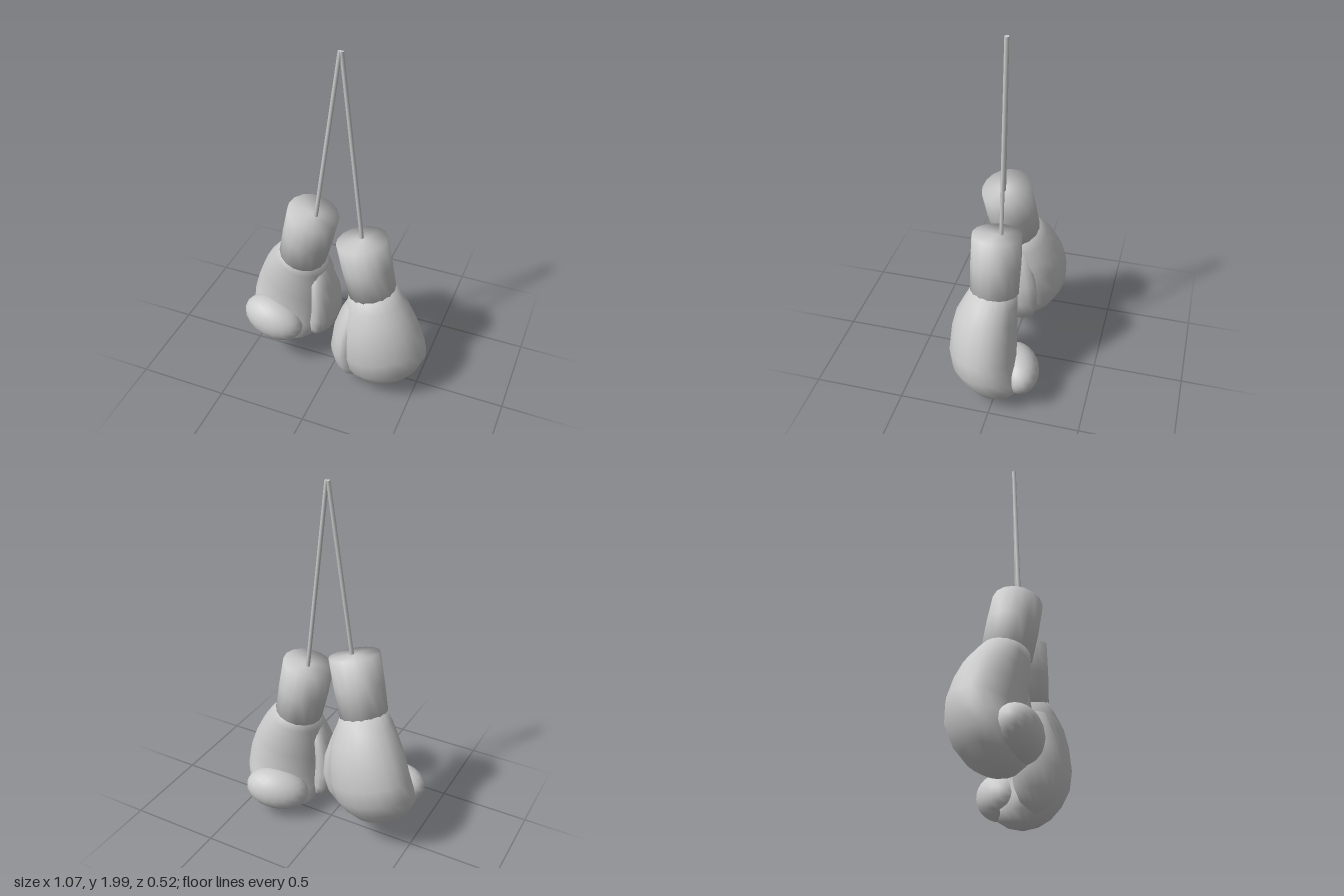
import * as THREE from 'three';

const material = new THREE.MeshStandardMaterial({ color: 0xcccccc });

function mesh(name, geometry) {
  const m = new THREE.Mesh(geometry, material);
  m.name = name;
  return m;
}

// Smooth skin over oval rings, each given as [drop, xMin, xMax, zMin, zMax]
function loft(rings, sides) {
  const pos = [], index = [];
  rings.forEach(([s, x0, x1, z0, z1], i) => {
    for (let j = 0; j < sides; j++) {
      const a = (j / sides) * Math.PI * 2;
      pos.push((x0 + x1) / 2 + Math.cos(a) * (x1 - x0) / 2, -s,
        (z0 + z1) / 2 + Math.sin(a) * (z1 - z0) / 2);
      if (i === rings.length - 1) continue;
      const k = (j + 1) % sides;
      const p = i * sides + j, q = i * sides + k;
      index.push(p, q, p + sides, q, q + sides, p + sides);
    }
  });
  const g = new THREE.BufferGeometry();
  g.setAttribute('position', new THREE.Float32BufferAttribute(pos, 3));
  g.setIndex(index);
  g.computeVertexNormals();
  return g;
}

// Glove hanging from the middle of its cuff: back of hand +z, thumb -x
function glove(name, yaw) {
  const g = new THREE.Group();
  g.name = name;

  // Closed cuff with softly shaded ends
  const cuff = mesh('cuff', loft([
    [0, 0, 0, 0, 0],
    [0, -0.139, 0.139, -0.13, 0.134],
    [0.16, -0.14, 0.135, -0.134, 0.136],
    [0.325, -0.135, 0.128, -0.13, 0.132],
    [0.325, 0, 0, 0, 0],
  ], 16));

  // The hand turns on the wrist
  const fist = new THREE.Group();
  fist.name = 'fist';
  fist.rotation.y = yaw;

  // The lower rings reach forward where the knuckles fold over
  const hand = mesh('hand', loft([
    [0.30, 0, 0, 0, 0],
    [0.30, -0.12, 0.115, -0.115, 0.12],
    [0.38, -0.155, 0.155, -0.125, 0.162],
    [0.46, -0.19, 0.186, -0.13, 0.2],
    [0.56, -0.217, 0.212, -0.135, 0.222],
    [0.68, -0.235, 0.228, -0.135, 0.23],
    [0.78, -0.235, 0.225, -0.16, 0.212],
    [0.86, -0.215, 0.192, -0.21, 0.165],
    [0.92, -0.175, 0.14, -0.165, 0.105],
    [0.955, -0.115, 0.07, -0.11, 0.04],
    [0.97, -0.03, -0.03, -0.04, -0.04],
  ], 20));

  // Finger roll, tapering to both sides
  const fingers = mesh('foldedFingers', new THREE.SphereGeometry(1, 20, 14));
  fingers.scale.set(0.18, 0.122, 0.118);
  fingers.position.set(0.02, -0.8, -0.145);

  const thumb = mesh('thumb', loft([
    [0.35, -0.11, -0.11, 0.02, 0.02],
    [0.38, -0.158, -0.07, -0.05, 0.09],
    [0.46, -0.21, -0.1, -0.1, 0.11],
    [0.55, -0.26, -0.13, -0.125, 0.13],
    [0.66, -0.298, -0.15, -0.13, 0.13],
    [0.76, -0.294, -0.16, -0.12, 0.11],
    [0.83, -0.265, -0.17, -0.09, 0.08],
    [0.865, -0.24, -0.18, -0.05, 0.04],
    [0.89, -0.21, -0.21, -0.01, -0.01],
  ], 16));

  fist.add(hand, fingers, thumb);
  g.add(cuff, fist);
  return g;
}

// Straight cord between two points
function cord(name, from, to) {
  const a = new THREE.Vector3(...from), b = new THREE.Vector3(...to);
  const m = mesh(name, new THREE.CylinderGeometry(0.011, 0.011, a.distanceTo(b), 6));
  m.position.copy(a).add(b).multiplyScalar(0.5);
  m.quaternion.setFromUnitVectors(new THREE.Vector3(0, 1, 0), b.sub(a).normalize());
  return m;
}

export function createModel() {
  const model = new THREE.Group();
  model.name = 'hangingBoxingGloves';

  // Back of the hand to the front
  const left = glove('leftGlove', 0.38);
  left.position.set(0.158, 0.968, 0.03);
  left.rotation.z = 0.21;

  // Palm to the front, leaning a little
  const right = glove('rightGlove', -0.1);
  right.position.set(-0.105, 1.083, 0.055);
  right.rotation.set(0.13, Math.PI, -0.263, 'XZY');

  model.add(left, right,
    cord('leftCord', [0.152, 0.95, 0.012], [0.034, 2, 0.012]),
    cord('rightCord', [-0.09, 1.06, 0.06], [0.026, 2, 0.012]));
  return model;
}
